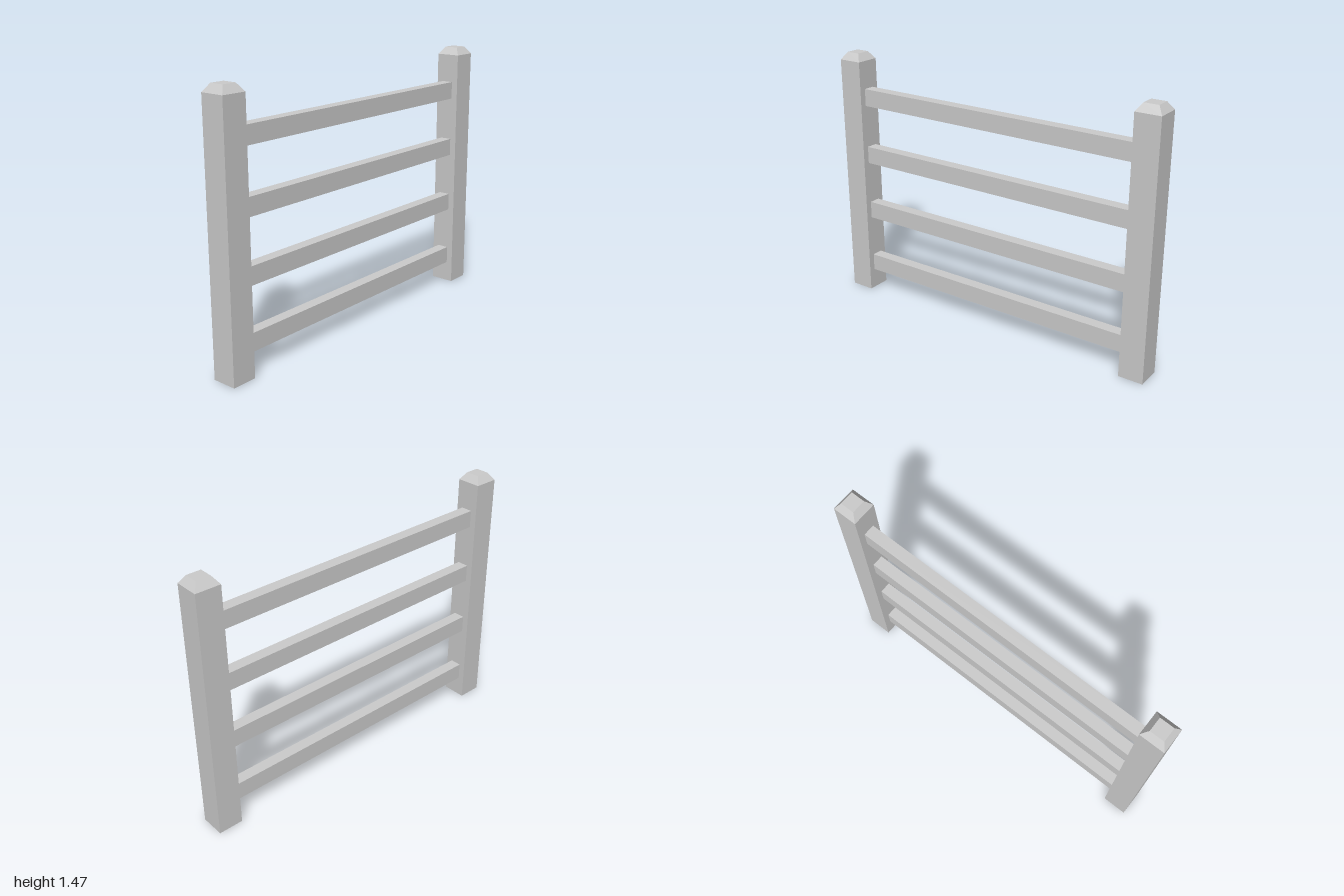
import * as THREE from 'three';

export function createModel() {
  const fence = new THREE.Group();
  fence.name = 'fence';
  const material = new THREE.MeshStandardMaterial({ color: 0xcccccc, flatShading: true });

  const postWidth = 0.14, postHeight = 1.425, topWidth = 0.08, totalHeight = 1.467;
  const postX = 1 - postWidth / 2;

  // Square post with a chamfered top: a four-sided lathe turned by 45 degrees
  const corner = (width) => width * Math.SQRT1_2;
  const profile = [
    [0, 0],
    [corner(postWidth), 0],
    [corner(postWidth), postHeight],
    [corner(topWidth), totalHeight],
    [0, totalHeight],
  ].map(([r, y]) => new THREE.Vector2(r, y));
  const postGeometry = new THREE.LatheGeometry(profile, 4, Math.PI / 4);

  for (const [name, side] of [['leftPost', 1], ['rightPost', -1]]) {
    const post = new THREE.Mesh(postGeometry, material);
    post.name = name;
    post.position.x = side * postX;
    fence.add(post);
  }

  // Four evenly spaced rails between the posts
  const railGeometry = new THREE.BoxGeometry(2 - 2 * postWidth, 0.1, 0.066);
  for (let i = 0; i < 4; i++) {
    const rail = new THREE.Mesh(railGeometry, material);
    rail.name = `rail${i + 1}`;
    rail.position.y = 0.17 + i * 0.348;
    fence.add(rail);
  }

  return fence;
}
